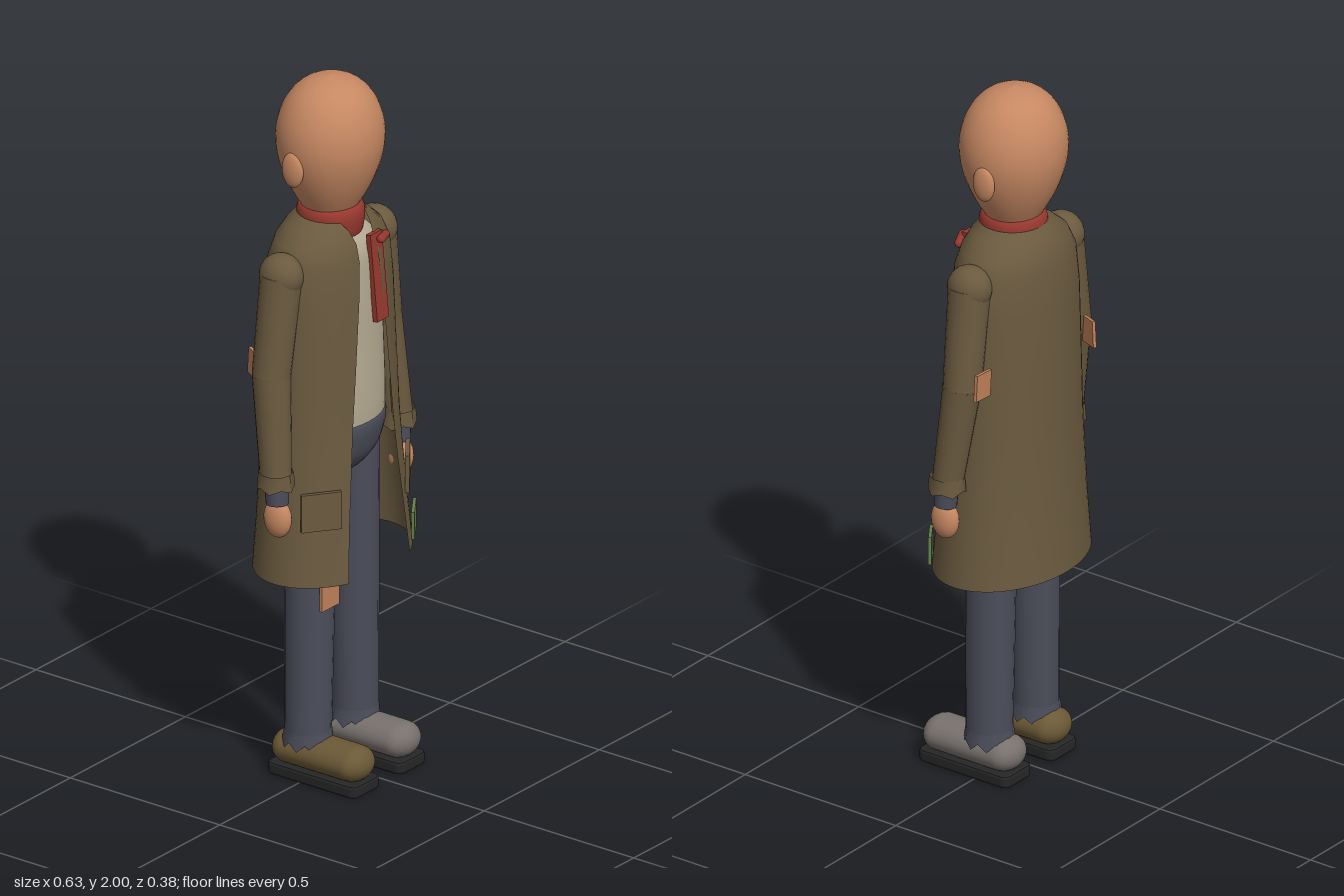
import * as THREE from 'three';

const material = (name, color, side = THREE.FrontSide) => {
  const m = new THREE.MeshStandardMaterial({ color, side });
  m.name = name;
  return m;
};

export function createModel() {
  const model = new THREE.Group();
  model.name = 'manInLongCoat';
  const skin = material('skin', 0xc68862);
  const coatCloth = material('coatBrown', 0x6a5a3f, THREE.DoubleSide);
  const shirtCloth = material('shirtBeige', 0xb5aa92);
  const denim = material('trouserBlueGrey', 0x4b4d5a, THREE.DoubleSide);
  const red = material('scarfRed', 0x97382f);
  const brownLeather = material('brownLeather', 0x6b5936);
  const greyLeather = material('greyLeather', 0x78716e);
  const rubber = material('soleBlack', 0x262626);
  const green = material('patchGreen', 0x64804a);
  const tan = material('patchTan', 0xc1815a);

  const add = (name, geometry, mat, pos = [0, 0, 0], rot = [0, 0, 0], scale = [1, 1, 1]) => {
    const mesh = new THREE.Mesh(geometry, mat);
    mesh.name = name;
    mesh.position.set(...pos);
    mesh.rotation.set(...rot);
    mesh.scale.set(...scale);
    model.add(mesh);
    return mesh;
  };

  const ball = (name, mat, pos, scale, rot) =>
    add(name, new THREE.SphereGeometry(1, 24, 16), mat, pos, rot, scale);

  // Smooth turned body from [radius, y] pairs, squashed in depth
  const turned = (name, mat, pts, depth, z) => {
    const curve = new THREE.SplineCurve(pts.map(p => new THREE.Vector2(...p)));
    const profile = curve.getPoints(32).map(p => p.setX(Math.max(0, p.x)));
    return add(name, new THREE.LatheGeometry(profile, 36), mat, [0, 0, z], [0, 0, 0], [1, 1, depth]);
  };

  // Tapered tube from a (top) to b (bottom)
  const limb = (name, mat, a, b, ra, rb, open = false) => {
    const top = new THREE.Vector3(...a), bottom = new THREE.Vector3(...b);
    const axis = top.clone().sub(bottom);
    const mesh = add(name, new THREE.CylinderGeometry(ra, rb, axis.length(), 20, 1, open), mat);
    mesh.position.copy(top).add(bottom).multiplyScalar(0.5);
    mesh.quaternion.setFromUnitVectors(new THREE.Vector3(0, 1, 0), axis.normalize());
    return mesh;
  };

  // Open ring of cloth with an uneven lower edge
  const raggedRing = (name, mat, pos, ra, rb, h, sides, rag) => {
    const geo = new THREE.CylinderGeometry(ra, rb, h, sides, 1, true);
    const p = geo.attributes.position;
    for (let i = 0; i < p.count; i++) {
      if (p.getY(i) < 0) p.setY(i, p.getY(i) + ((i % (sides + 1)) % 2) * rag);
    }
    geo.computeVertexNormals();
    add(name, geo, mat, pos);
  };

  // Head and ears
  turned('head', skin, [[0, 1.57], [0.05, 1.585], [0.08, 1.63], [0.115, 1.69], [0.141, 1.755], [0.152, 1.82],
    [0.144, 1.885], [0.114, 1.945], [0.065, 1.985], [0, 2]], 0.94, -0.015);
  for (const s of [-1, 1]) ball('ear', skin, [s * 0.148, 1.77, -0.027], [0.017, 0.05, 0.034]);

  // Shirt and trouser seat
  turned('shirt', shirtCloth, [[0.165, 1.0], [0.168, 1.08], [0.162, 1.25], [0.155, 1.42], [0.14, 1.52],
    [0.08, 1.57], [0, 1.58]], 0.74, -0.01);
  turned('trouserSeat', denim, [[0, 0.86], [0.08, 0.87], [0.14, 0.92], [0.166, 0.98], [0.17, 1.02], [0.155, 1.03]],
    0.74, -0.01);

  // Long coat: open elliptical rows of [y, half width, half depth, centre z, half opening]
  const rows = [
    [0.61, 0.255, 0.183, -0.008, 0.132], [0.75, 0.244, 0.171, -0.01, 0.118], [0.9, 0.231, 0.162, -0.014, 0.1],
    [1.02, 0.223, 0.156, -0.016, 0.088], [1.2, 0.216, 0.151, -0.018, 0.07], [1.4, 0.208, 0.145, -0.02, 0.05],
    [1.5, 0.198, 0.137, -0.02, 0.04], [1.55, 0.172, 0.124, -0.02, 0.037], [1.585, 0.13, 0.107, -0.018, 0.045],
    [1.61, 0.088, 0.09, -0.015, 0.055]];
  const segments = 48, verts = [], faces = [];
  rows.forEach(([y, rx, rz, cz, gap], i) => {
    const start = Math.asin(gap / rx);
    for (let j = 0; j <= segments; j++) {
      const a = start + (2 * Math.PI - 2 * start) * j / segments;
      verts.push(rx * Math.sin(a), y, cz + rz * Math.cos(a));
      if (i < rows.length - 1 && j < segments) {
        const k = i * (segments + 1) + j, up = k + segments + 1;
        faces.push(k, k + 1, up + 1, k, up + 1, up);
      }
    }
  });
  const coat = new THREE.BufferGeometry();
  coat.setAttribute('position', new THREE.Float32BufferAttribute(verts, 3));
  coat.setIndex(faces);
  coat.computeVertexNormals();
  add('coat', coat, coatCloth);

  // Scarf: neck wrap, hanging tail and knot end
  turned('scarfWrap', red, [[0.055, 1.535], [0.082, 1.55], [0.091, 1.59], [0.09, 1.62], [0.079, 1.636], [0.06, 1.63]],
    1, -0.014);
  add('scarfTail', new THREE.BoxGeometry(0.05, 0.25, 0.015), red, [0.045, 1.432, 0.108], [-0.08, 0, 0.02]);
  add('scarfEnd', new THREE.CapsuleGeometry(0.012, 0.045, 6, 12), red, [0.07, 1.537, 0.108], [0, 0.4, 1.45]);

  for (const s of [-1, 1]) {
    // Sleeves, cuffs and hands
    const shoulder = [s * 0.203, 1.485, -0.022], elbow = [s * 0.242, 1.21, -0.026], wrist = [s * 0.264, 0.92, 0.006];
    ball('shoulder', coatCloth, shoulder, [0.056, 0.062, 0.063]);
    limb('upperSleeve', coatCloth, shoulder, elbow, 0.058, 0.052);
    ball('elbow', coatCloth, elbow, [0.052, 0.052, 0.052]);
    limb('lowerSleeve', coatCloth, elbow, wrist, 0.052, 0.042);
    raggedRing('sleeveCuff', coatCloth, [s * 0.265, 0.921, 0.007], 0.047, 0.051, 0.05, 10, 0.012);
    limb('jumperCuff', denim, [s * 0.264, 0.93, 0.008], [s * 0.265, 0.855, 0.012], 0.034, 0.031);
    ball('hand', skin, [s * 0.265, 0.812, 0.013], [0.029, 0.055, 0.042]);

    // Coat pockets
    add('coatPocket', new THREE.BoxGeometry(0.111, 0.108, 0.012), coatCloth, [s * 0.188, 0.826, 0.099], [0, s * 0.64, 0]);

    // Trouser legs with frayed hems
    limb('trouserLeg', denim, [s * 0.09, 0.95, -0.01], [s * 0.102, 0.11, -0.011], 0.073, 0.063);
    raggedRing('frayedHem', denim, [s * 0.102, 0.117, -0.011], 0.064, 0.069, 0.05, 18, 0.022);

    // Shoes
    add('shoe', new THREE.CapsuleGeometry(0.05, 0.205, 10, 24), s < 0 ? brownLeather : greyLeather,
      [s * 0.1, 0.077, 0.039], [Math.PI / 2, 0, 0], [1.28, 1, 0.98]);
    add('shoeSole', soleGeometry(), rubber, [s * 0.1, 0.03, 0.039], [Math.PI / 2, 0, 0]);
  }

  // Mending patches
  const patch = (name, mat, w, h, pos, rot) => add(name, new THREE.BoxGeometry(w, h, 0.009), mat, pos, rot);
  patch('coatPatch', green, 0.086, 0.08, [0.194, 0.675, 0.115], [0, 0.6, 0.06]);
  patch('kneePatch', tan, 0.075, 0.08, [-0.103, 0.547, 0.061], [0, 0, 0]);
  patch('leftElbowPatch', tan, 0.066, 0.075, [0.241, 1.23, -0.093], [0, 0.04, 0.08]);
  patch('rightElbowPatch', tan, 0.066, 0.075, [-0.218, 1.21, -0.1], [0, 1.1, 0.1]);
  return model;
}

// Flat sole with rounded corners
function soleGeometry() {
  const w = 0.052, l = 0.142, r = 0.015;
  const shape = new THREE.Shape();
  shape.absarc(w - r, l - r, r, 0, Math.PI / 2);
  shape.absarc(r - w, l - r, r, Math.PI / 2, Math.PI);
  shape.absarc(r - w, r - l, r, Math.PI, Math.PI * 1.5);
  shape.absarc(w - r, r - l, r, Math.PI * 1.5, Math.PI * 2);
  return new THREE.ExtrudeGeometry(shape, { depth: 0.02, bevelSize: 0.008, bevelThickness: 0.008, bevelSegments: 2,
    curveSegments: 5 }).translate(0, 0, 0.002);
}
